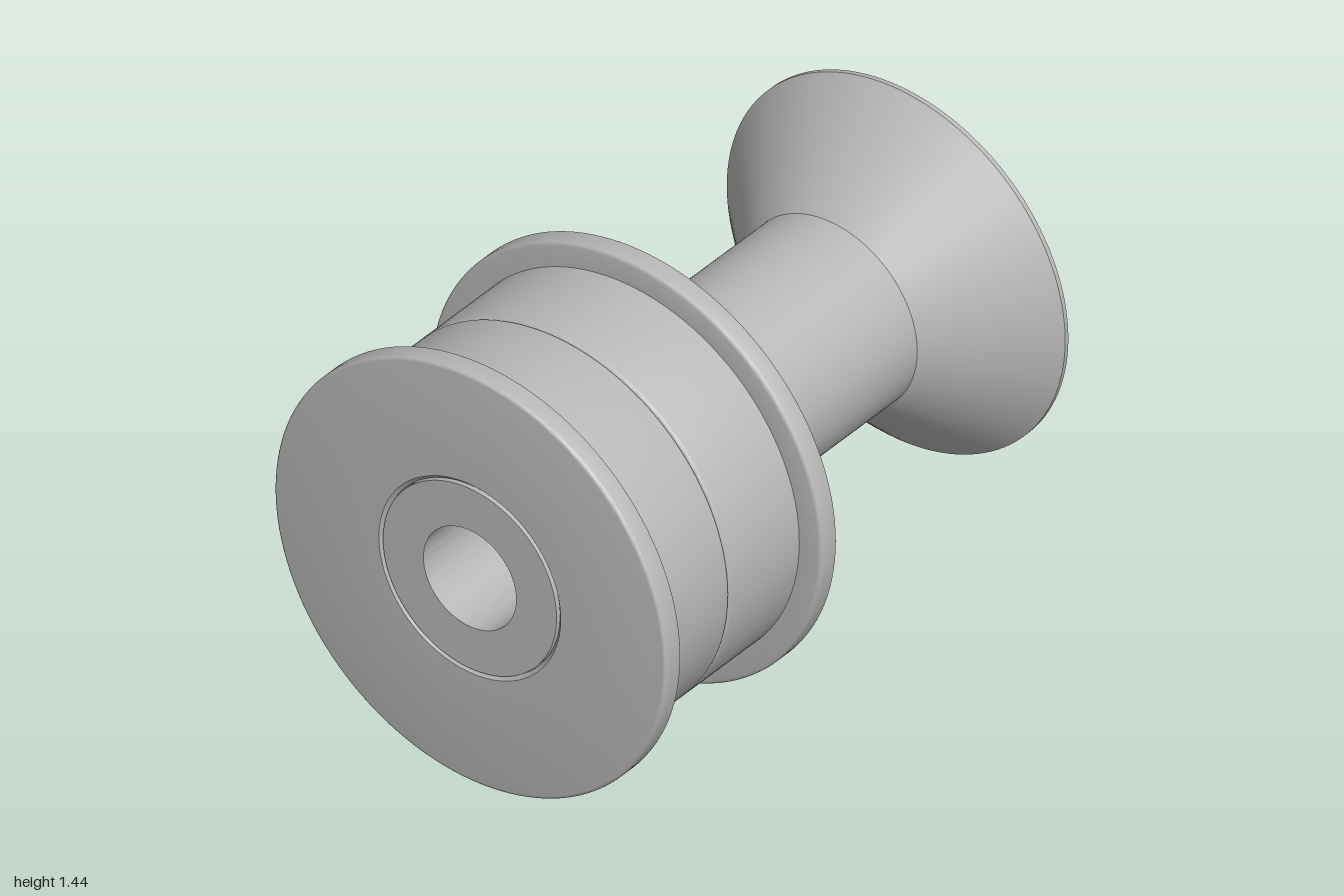
import * as THREE from 'three';
import { toCreasedNormals } from 'three/addons/utils/BufferGeometryUtils.js';

const AXIS_Y = 0.72;     // height of the common axis
const BORE = 0.17;       // through hole
const SHAFT = 0.318;
const HEX = 0.23;        // socket corner radius
const FLOOR = -0.81;     // bottom of the socket

// Quarter-round corner (steps of 22.5 degrees) about (r, z)
function corner(r, z, radius, startDeg) {
  const pts = [];
  for (let i = 0; i <= 4; i++) {
    const a = THREE.MathUtils.degToRad(startDeg + i * 22.5);
    pts.push([r + radius * Math.cos(a), z + radius * Math.sin(a)]);
  }
  return pts;
}

// Revolve [radius, z] points about the z axis
function turned(points, segments = 128) {
  const g = new THREE.LatheGeometry(points.map(([r, z]) => new THREE.Vector2(r, z)), segments);
  g.rotateX(Math.PI / 2);
  return toCreasedNormals(g, 0.5);
}

function hexPoints() {
  return Array.from({ length: 6 }, (_, i) => {
    const a = (i * Math.PI) / 3;
    return new THREE.Vector2(HEX * Math.cos(a), HEX * Math.sin(a));
  });
}

export function createModel() {
  const steel = new THREE.MeshStandardMaterial({ color: 0xb8b8b8 });
  steel.name = 'steelGrey';
  const model = new THREE.Group();
  model.name = 'flangedRollerOnBolt';

  function add(parent, name, geometry) {
    const mesh = new THREE.Mesh(geometry, steel);
    mesh.name = name;
    parent.add(mesh);
    return mesh;
  }

  // Two flanged rings, back to back, meeting in a small V groove
  const c = 0.012;
  const ringProfile = [
    [0.321, 0.2 - c], [0.321 + c, -0.2].map((v, i) => (i ? -0.2 : v)),
    ...corner(0.718 - c, -0.2 + c, c, -90),
    ...corner(0.718 - c, -0.125 - c, c, 0),
    [0.637, -0.125],
    ...corner(0.637 - c, 0.2 - c, c, 0),
    [0.321 + c, 0.2],
    [0.321, 0.2 - c],
  ];
  ringProfile[0] = [0.321, -0.2 + c];
  ringProfile.push([0.321, -0.2 + c]);
  const ringGeometry = turned(ringProfile);
  const backRing = add(model, 'backFlangedRing', ringGeometry);
  backRing.position.set(0, AXIS_Y, 0.4);
  const frontRing = add(model, 'frontFlangedRing', ringGeometry);
  frontRing.position.set(0, AXIS_Y, 0.8);
  frontRing.rotation.y = Math.PI;

  // Countersunk bolt with a through hole
  const bolt = new THREE.Group();
  bolt.name = 'countersunkBolt';
  bolt.position.y = AXIS_Y;
  model.add(bolt);
  add(bolt, 'boltBody', turned([
    [0.62, -1], [0.62, -0.985], [SHAFT, -0.68], [SHAFT, 1], [BORE, 1], [BORE, FLOOR],
  ]));

  // Flat head face with a hexagonal opening
  const face = new THREE.Shape().absarc(0, 0, 0.62, 0, Math.PI * 2);
  face.holes.push(new THREE.Path(hexPoints()));
  add(bolt, 'headFace', new THREE.ShapeGeometry(face, 64).rotateY(Math.PI).translate(0, 0, -1));

  // Socket floor, pierced by the through hole
  const floor = new THREE.Shape(hexPoints());
  floor.holes.push(new THREE.Path().absarc(0, 0, BORE, 0, Math.PI * 2, true));
  add(bolt, 'socketFloor', new THREE.ShapeGeometry(floor, 64).rotateY(Math.PI).translate(0, 0, FLOOR));

  // Socket walls, turned inward
  const depth = FLOOR + 1;
  const walls = new THREE.CylinderGeometry(HEX, HEX, depth, 6, 1, true);
  walls.rotateY(Math.PI / 6).rotateX(Math.PI / 2).scale(-1, 1, 1).translate(0, 0, -1 + depth / 2);
  add(bolt, 'socketWalls', toCreasedNormals(walls, 0.5));

  return model;
}
